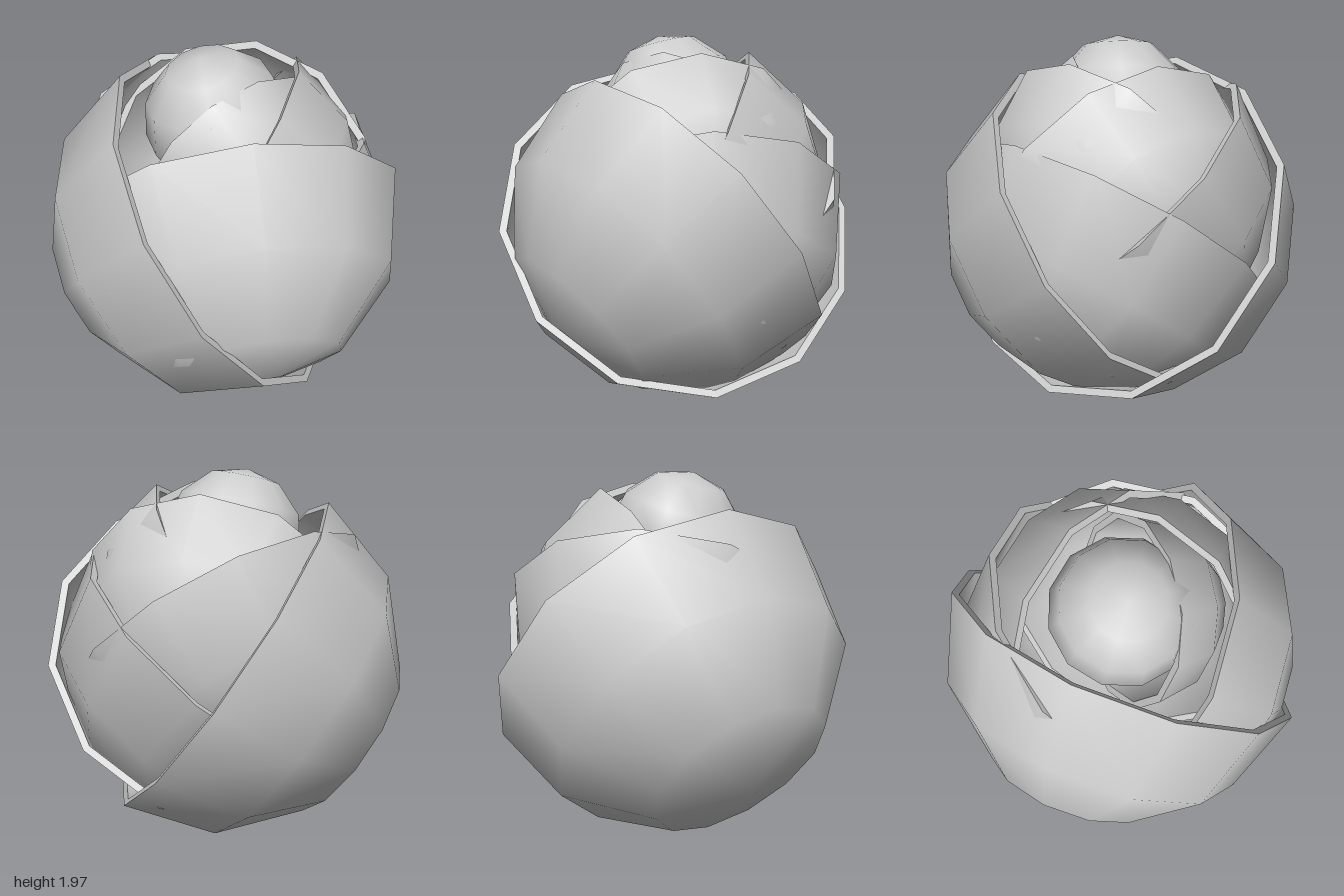
import * as THREE from 'three';
import { toCreasedNormals } from 'three/addons/utils/BufferGeometryUtils.js';

const material = new THREE.MeshStandardMaterial({ color: 0xcccccc });
const UP = new THREE.Vector3(0, 1, 0);

// Half-sphere cup with a wall, opening towards +y
function cupGeometry(radius, wall = 0.04) {
  const profile = [];
  const arc = (r, i) => {
    const a = (i * Math.PI) / 6;
    profile.push(new THREE.Vector2(i === 0 ? 0 : r * Math.sin(a), -r * Math.cos(a)));
  };
  for (let i = 0; i <= 3; i++) arc(radius, i);
  for (let i = 3; i >= 0; i--) arc(radius - wall, i);
  return toCreasedNormals(new THREE.LatheGeometry(profile, 12), 0.9);
}

// Petal: a cup at the given height whose opening faces the direction "open"
function petal(name, radius, height, open) {
  const mesh = new THREE.Mesh(cupGeometry(radius), material);
  const n = new THREE.Vector3(...open).normalize();
  const side = new THREE.Vector3().crossVectors(n, UP).normalize();
  const third = new THREE.Vector3().crossVectors(side, n);
  mesh.quaternion.setFromRotationMatrix(new THREE.Matrix4().makeBasis(side, n, third));
  mesh.position.set(0.04, height, 0);
  mesh.name = name;
  return mesh;
}

export function createModel() {
  const group = new THREE.Group();
  group.name = 'flowerBud';

  // Nested petals, from the outside in: radius, centre height, opening direction
  const petals = [
    [0.995, 0.995, [0.82, 0.573, 0]],
    [0.945, 0.995, [-0.26, 0.573, -0.777]],
    [0.89, 0.995, [-0.63, 0.775, -0.06]],
    [0.855, 1.18, [0.46, 0.76, 0.45]],
    [0.77, 1.21, [-0.225, 0.457, 0.86]],
    [0.69, 1.3, [-0.87, 0.49, -0.03]],
    [0.51, 1.44, [-0.64, 0.42, -0.64]],
  ];
  petals.forEach(([r, y, open], i) => group.add(petal(`petal${i + 1}`, r, y, open)));

  // Round heart
  const heart = new THREE.Mesh(new THREE.SphereGeometry(0.375, 12, 6), material);
  heart.position.set(-0.03, 1.615, 0.02);
  heart.rotation.set(0.15, 0.2, 0.2);
  heart.name = 'heart';
  group.add(heart);

  return group;
}
